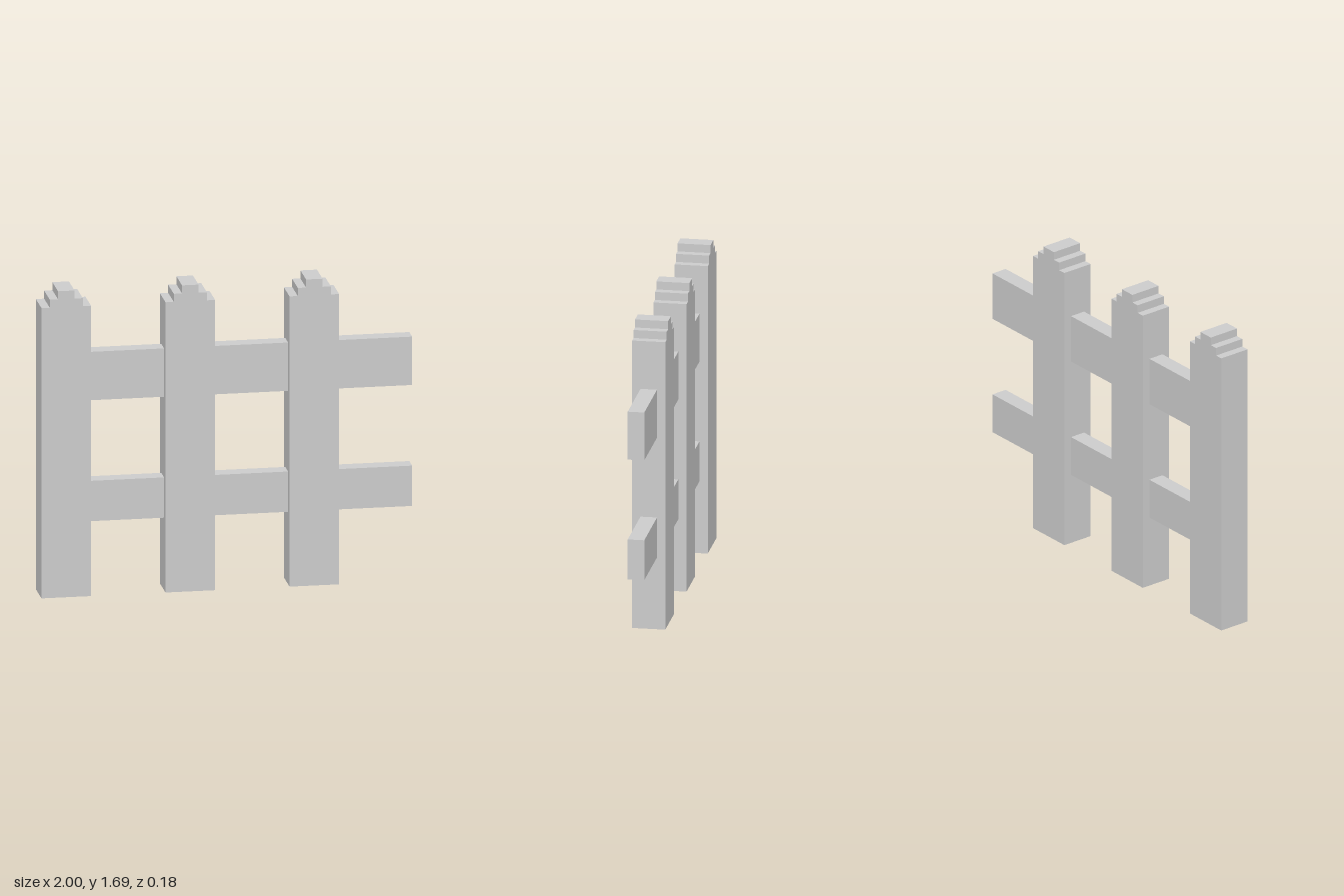
import * as THREE from 'three';

const U = 2 / 45; // base grid unit of the blocky design

export function createModel() {
  const fence = new THREE.Group();
  fence.name = 'fence';
  const material = new THREE.MeshStandardMaterial({ color: 0xcccccc, flatShading: true });

  // Picket outline: straight board with a two-step top
  const h = 36 * U;
  const half = [
    [3 * U, 0], [3 * U, h],
    [2 * U, h], [2 * U, h + U],
    [U, h + U], [U, h + 2 * U],
  ];
  const mirrored = half.map(([x, y]) => [-x, y]).reverse();
  const outline = new THREE.Shape([...half, ...mirrored].map(([x, y]) => new THREE.Vector2(x, y)));
  const depth = 4 * U;
  const picketGeometry = new THREE.ExtrudeGeometry(outline, { depth, bevelEnabled: false });
  picketGeometry.translate(0, 0, -depth / 2);

  // Three evenly spaced pickets, the first flush with the right end
  const pickets = new THREE.Group();
  pickets.name = 'pickets';
  for (let i = 0; i < 3; i++) {
    const picket = new THREE.Mesh(picketGeometry, material);
    picket.name = `picket${i + 1}`;
    picket.position.x = -1 + 3 * U + i * 15 * U;
    pickets.add(picket);
  }
  fence.add(pickets);

  // Two rails running from inside the first picket to the open left end
  const rail = (name, bottom, top) => {
    const start = -1 + 3 * U;
    const mesh = new THREE.Mesh(new THREE.BoxGeometry(1 - start, top - bottom, 2 * U), material);
    mesh.name = name;
    mesh.position.set((1 + start) / 2, (bottom + top) / 2, 0);
    fence.add(mesh);
  };
  rail('lowerRail', 9 * U, 14 * U);
  rail('upperRail', 24 * U, 30 * U);

  return fence;
}
